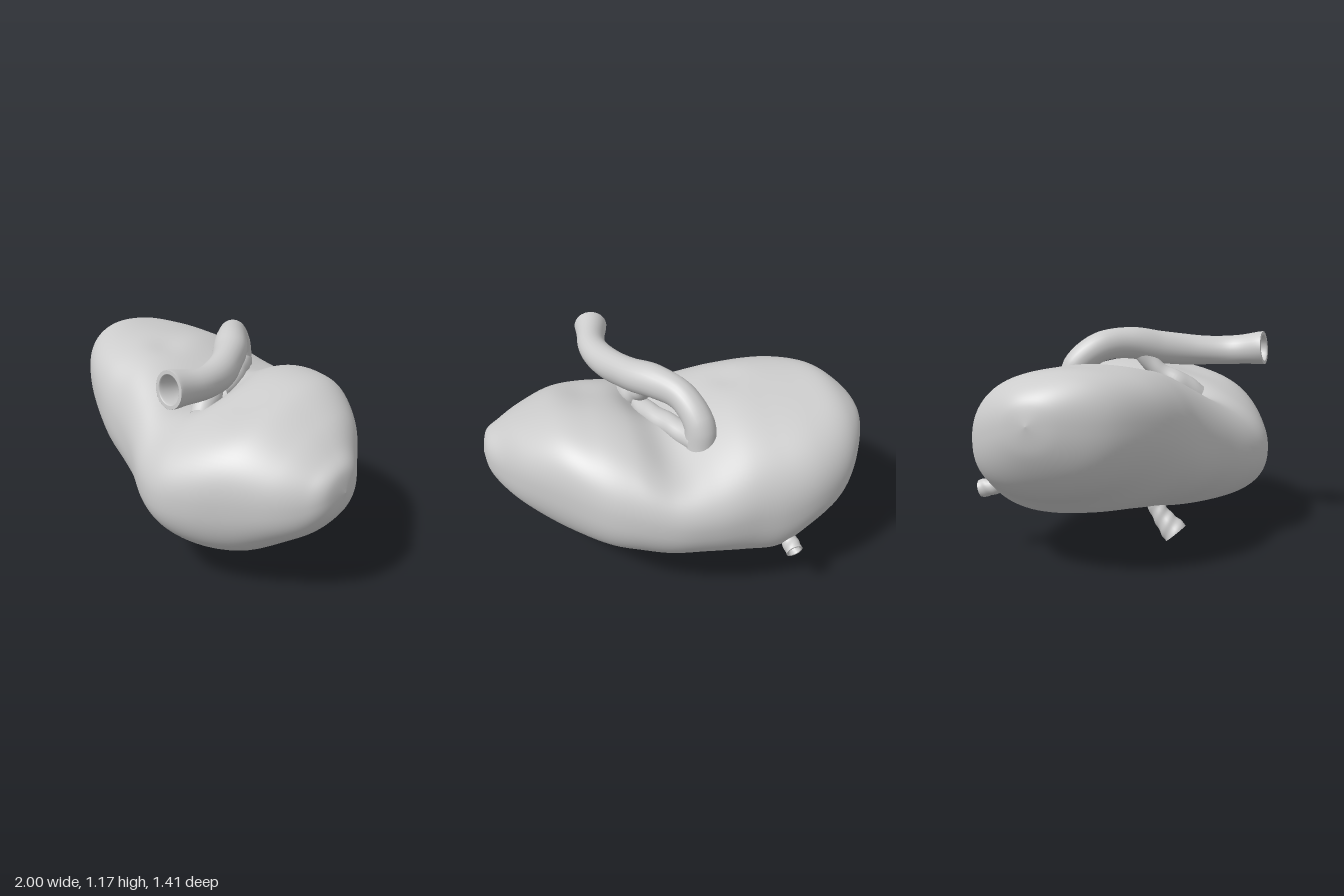
import * as THREE from 'three';

const material = new THREE.MeshStandardMaterial({ color: 0xcccccc, side: THREE.DoubleSide });

// Smooth skin over rows of closed rings; point(i, j) returns a Vector3
function skin(name, rows, sides, point) {
  const pos = [], index = [];
  for (let i = 0; i <= rows; i++) {
    for (let j = 0; j < sides; j++) pos.push(...point(i, j).toArray());
  }
  for (let i = 0; i < rows; i++) {
    for (let j = 0; j < sides; j++) {
      const k = (j + 1) % sides;
      const a = i * sides + j, b = a + sides, c = i * sides + k, d = c + sides;
      index.push(a, b, c, b, d, c);
    }
  }
  const geo = new THREE.BufferGeometry();
  geo.setAttribute('position', new THREE.Float32BufferAttribute(pos, 3));
  geo.setIndex(index);
  geo.computeVertexNormals();
  const mesh = new THREE.Mesh(geo, material);
  mesh.name = name;
  return mesh;
}

// Catmull-Rom interpolation through a table of stations
function sample(table, t) {
  const f = t * (table.length - 1), i = Math.min(Math.floor(f), table.length - 2), u = f - i;
  const at = k => table[Math.max(0, Math.min(table.length - 1, k))];
  return at(i).map((b, c) => {
    const a = at(i - 1)[c], d = at(i + 1)[c], e = at(i + 2)[c];
    return b + 0.5 * u * (d - a + u * (2 * a - 5 * b + 4 * d - e + u * (3 * (b - d) + e - a)));
  });
}

// Body stations: x, back z, front z, bottom y, top y, tilt
const stations = [
  [-1.0, -0.2, -0.2, 0.8, 0.8, 0],
  [-0.975, -0.33, -0.06, 0.66, 0.91, 0.01],
  [-0.9, -0.47, 0.1, 0.52, 0.985, 0.03],
  [-0.8, -0.57, 0.22, 0.42, 1.03, 0.05],
  [-0.65, -0.65, 0.33, 0.34, 1.035, 0.06],
  [-0.48, -0.69, 0.41, 0.24, 1.025, 0.06],
  [-0.3, -0.69, 0.47, 0.21, 1.0, 0.03],
  [-0.1, -0.685, 0.56, 0.19, 0.93, 0],
  [0.08, -0.67, 0.65, 0.16, 0.9, -0.04],
  [0.25, -0.62, 0.7, 0.155, 0.93, -0.07],
  [0.42, -0.54, 0.68, 0.16, 0.95, -0.08],
  [0.6, -0.4, 0.61, 0.2, 0.94, -0.08],
  [0.78, -0.22, 0.52, 0.3, 0.85, -0.06],
  [0.9, -0.04, 0.43, 0.38, 0.755, -0.03],
  [0.975, 0.09, 0.34, 0.48, 0.69, -0.01],
  [1.0, 0.21, 0.21, 0.59, 0.59, 0],
];

// Hollows in the top: x, z, depth, width across x, width across z
const hollows = [
  [0.1, 0.16, 0.09, 0.13, 0.22],
  [0.05, -0.4, 0.05, 0.14, 0.25],
  [-0.32, 0.05, 0.025, 0.1, 0.12],
  [0.42, 0.25, 0.03, 0.14, 0.2],
];

function bodyPoint(t, angle) {
  const [x, z0, z1, y0, y1, tilt] = sample(stations, t);
  const round = v => Math.sign(v) * Math.abs(v) ** 0.87;
  const c = round(Math.cos(angle)), s = round(Math.sin(angle));
  const hz = (z1 - z0) / 2, hy = (y1 - y0) / 2;
  // gentle lumps, fading at both ends
  const fade = Math.sin(Math.PI * t);
  const lump = 1 + 0.012 * fade * (Math.sin(9 * x + 3 * angle) + Math.sin(5 * x - 4 * angle + 1));
  const z = (z0 + z1) / 2 + hz * c * lump;
  let y = (y0 + y1) / 2 + Math.sqrt(Math.max(0, hy * hy - tilt * tilt)) * s * lump + tilt * c;
  for (const [hx, hzc, depth, wx, wz] of hollows) {
    y -= Math.max(0, s) * depth * Math.exp(-(((x - hx) / wx) ** 2) - ((z - hzc) / wz) ** 2);
  }
  return new THREE.Vector3(x, y, z);
}

// Vessel along a path; rings are [position on path, radius], and may fold back inside
function vessel(name, points, rings, wobble = 0.05) {
  const curve = new THREE.CatmullRomCurve3(points.map(p => new THREE.Vector3(...p)));
  const steps = 80, sides = 24, rows = 90;
  const { normals, binormals } = curve.computeFrenetFrames(steps);
  return skin(name, rows, sides, (i, j) => {
    let [t, r] = sample(rings, i / rows);
    t = Math.max(0, Math.min(1, t));
    const a = (j / sides) * Math.PI * 2, k = Math.round(t * steps);
    r *= 1 + wobble * Math.sin(2 * a + 9 * t) * Math.cos(11 * t);
    return curve.getPointAt(t)
      .addScaledVector(normals[k], r * Math.cos(a))
      .addScaledVector(binormals[k], -r * Math.sin(a));
  });
}

export function createModel() {
  const group = new THREE.Group();

  // Rounded, bent main body
  const rows = 110, sides = 96;
  group.add(skin('body', rows, sides, (i, j) => bodyPoint(i / rows, (j / sides) * Math.PI * 2)));

  // Arched vessel on top with an open, hollow front end
  group.add(vessel('archedVessel', [
    [-0.1, 0.84, -0.32], [-0.1, 0.96, -0.3], [-0.04, 1.06, -0.19], [0.07, 1.08, -0.05],
    [0.18, 1.05, 0.1], [0.28, 1.03, 0.28], [0.33, 1.03, 0.46], [0.31, 1.05, 0.665],
  ], [
    [0, 0.08], [0.15, 0.078], [0.3, 0.08], [0.45, 0.09], [0.6, 0.085], [0.75, 0.082],
    [0.9, 0.08], [1, 0.092], [0.995, 0.07], [0.9, 0.055], [0.82, 0],
  ]));

  // Short branch joining the arch to the hollow
  group.add(vessel('branch', [
    [0.1, 1.04, 0.0], [0.12, 0.93, 0.1], [0.14, 0.86, 0.2], [0.19, 0.78, 0.32],
  ], [[0, 0.05], [0.4, 0.05], [0.7, 0.07], [1, 0.06]]));

  // Fold running beneath the arch
  group.add(vessel('fold', [
    [-0.08, 0.87, -0.32], [0.0, 0.87, -0.18], [0.09, 0.86, -0.02], [0.13, 0.84, 0.12],
  ], [[0, 0.06], [0.5, 0.06], [1, 0.05]]));

  // Open stub underneath
  group.add(vessel('lowerStub', [
    [-0.05, 0.22, 0.12], [-0.055, 0.13, 0.18], [-0.06, 0.04, 0.26],
  ], [[0, 0.045], [0.4, 0.05], [1, 0.07], [0.98, 0.055], [0.6, 0.035], [0.5, 0]], 0.08));

  // Small open stub at the back
  group.add(vessel('backStub', [
    [-0.5, 0.42, -0.52], [-0.52, 0.37, -0.61], [-0.53, 0.35, -0.685],
  ], [[0, 0.045], [0.5, 0.045], [1, 0.045], [0.97, 0.034], [0.7, 0.025], [0.6, 0]], 0.08));

  return group;
}
